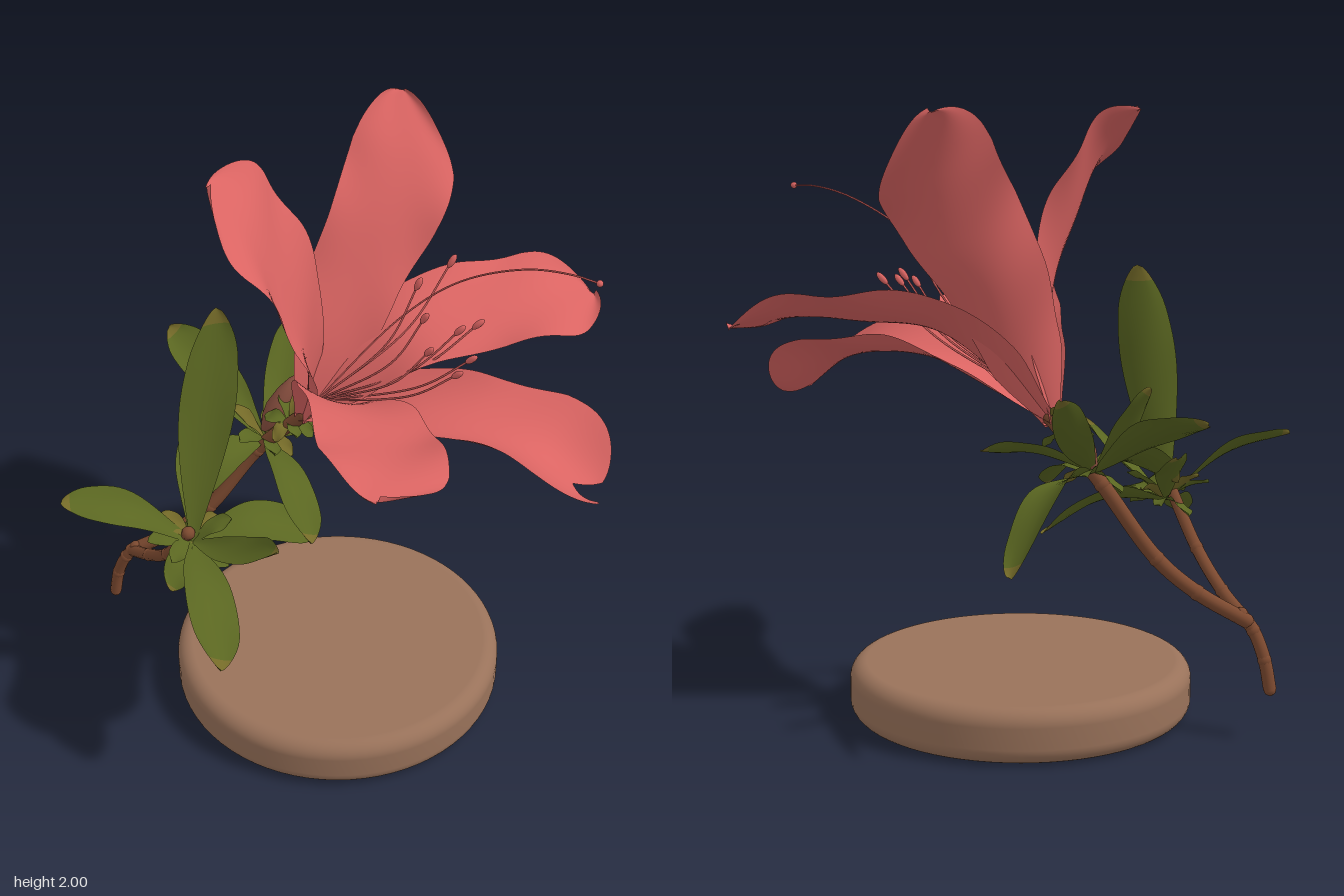
import * as THREE from 'three';

const mat = (name, color, side = THREE.FrontSide) => {
  const m = new THREE.MeshStandardMaterial({ color, side });
  m.name = name;
  return m;
};
const V = (p) => new THREE.Vector3(...p);
const curve = (pts) => new THREE.CatmullRomCurve3(pts.map(V), false, 'centripetal');

// Smooth interpolation through a short list of values
function sample(list, t) {
  const f = t * (list.length - 1), i = Math.min(Math.floor(f), list.length - 2), k = f - i;
  const s = k * k * (3 - 2 * k) * 0.4 + k * 0.6;
  return list[i] + (list[i + 1] - list[i]) * s;
}

// Thin curved blade: cross-sections along a spine, cupped toward "inner" and rippled at the edges
function blade(spine, sideDir, widthAt, { cup, ripple, inner, notch = 0, nu, nv, waves = 18, tipRows = 0 }) {
  const pos = [], idx = [], side0 = V(sideDir).normalize(), ref = V(inner);
  for (let j = 0; j <= nv; j++) {
    const t = 1 - Math.pow(1 - j / nv, 1.5);
    const p = spine.getPoint(t), tan = spine.getTangent(t);
    const normal = new THREE.Vector3().crossVectors(side0, tan).normalize();
    if (normal.dot(ref) < 0) normal.negate();
    const w = widthAt(t);
    for (let i = 0; i <= nu; i++) {
      const u = (i / nu) * 2 - 1;
      const lift = cup(t) * w * u * u + ripple * t * u * u * Math.sin(t * waves + u * 2);
      const q = p.clone().addScaledVector(side0, w * u).addScaledVector(normal, lift);
      q.addScaledVector(tan, -notch * t ** 8 * (1 - Math.abs(u)));
      pos.push(q.x, q.y, q.z);
    }
  }
  const row = nu + 1;
  for (let j = 0; j < nv; j++) for (let i = 0; i < nu; i++) {
    const a = j * row + i;
    idx.push(a, a + 1, a + row, a + 1, a + row + 1, a + row);
  }
  const g = new THREE.BufferGeometry();
  g.setAttribute('position', new THREE.Float32BufferAttribute(pos, 3));
  g.setIndex(idx);
  const tipCount = tipRows * nu * 6;
  g.addGroup(0, idx.length - tipCount, 0);
  if (tipRows) g.addGroup(idx.length - tipCount, tipCount, 1);
  g.computeVertexNormals();
  return g;
}

export function createModel() {
  const root = new THREE.Group();
  const pink = mat('petal pink', 0xda6462, THREE.DoubleSide);
  const green = mat('leaf green', 0x5a6621, THREE.DoubleSide);
  const olive = mat('bract olive', 0x746a28, THREE.DoubleSide);
  const bark = mat('bark brown', 0x7d4a30);
  const budColor = mat('bud brown', 0x8a5040);
  const wood = mat('base brown', 0x99725a);
  const add = (name, geo, material, parent = root) => {
    const m = new THREE.Mesh(geo, material);
    m.name = name;
    parent.add(m);
    return m;
  };
  const group = (name) => {
    const g = new THREE.Group();
    g.name = name;
    root.add(g);
    return g;
  };

  // Round base with softened rims
  const R = 0.57, H = 0.18, c = 0.055, profile = [new THREE.Vector2(0, 0)];
  for (const [start, y] of [[-Math.PI / 2, c], [0, H - c]]) {
    for (let i = 0; i <= 8; i++) {
      const a = start + (i / 8) * Math.PI / 2;
      profile.push(new THREE.Vector2(R - c + c * Math.cos(a), y + c * Math.sin(a)));
    }
  }
  profile.push(new THREE.Vector2(0, H));
  add('base', new THREE.LatheGeometry(profile, 72), wood);

  // Forked stem with knots
  const stem = group('stem');
  const branch = (name, r, pts) => {
    add(name, new THREE.TubeGeometry(curve(pts), 32, r, 10), bark, stem);
    pts.forEach((p, i) => {
      const knot = add('knot', new THREE.SphereGeometry(r * (i === 0 ? 0.98 : 1.12), 10, 8), bark, stem);
      knot.position.set(...p);
    });
  };
  branch('trunk', 0.021, [[-0.85, 0.165, 0.055], [-0.83, 0.26, 0.055], [-0.79, 0.35, 0.06], [-0.75, 0.4, 0.055]]);
  branch('flowerBranch', 0.024, [[-0.77, 0.38, 0.055], [-0.62, 0.47, 0], [-0.5, 0.58, -0.05], [-0.34, 0.82, -0.12], [-0.16, 1.02, -0.115]]);
  branch('leafBranch', 0.021, [[-0.77, 0.38, 0.055], [-0.66, 0.45, 0.13], [-0.54, 0.56, 0.22], [-0.42, 0.74, 0.29]]);

  // Petals: spine after the shared foot, side direction, half widths from throat to tip, tip cupping, notch
  const flower = group('flower');
  const petal = (pts, side, widths, tipCup, notch = 0) => {
    const round = (t) => (t < 0.84 ? 1 : Math.sqrt(Math.max(0, 1 - ((t - 0.84) / 0.16) ** 2)));
    const width = (t) => Math.max(0.002, sample([0.03, ...widths], t) * (notch ? 0.35 + 0.65 * round(t) : round(t)));
    const cup = (t) => 0.26 + (tipCup - 0.26) * t * t;
    const shape = { cup, ripple: 0.022, inner: [0.65, 0.76, 0], notch, nu: 16, nv: 56 };
    add('petal', blade(curve([[-0.17, 1, -0.115], ...pts]), side, width, shape), pink, flower);
  };
  petal([[-0.11, 1.22, -0.19], [-0.07, 1.45, -0.3], [-0.01, 1.64, -0.42], [0.02, 1.8, -0.54], [-0.02, 1.98, -0.66]],
    [0.74, -0.42, -0.4], [0.125, 0.16, 0.185, 0.19, 0.12], 0.1);
  petal([[0, 1.19, -0.19], [0.15, 1.31, -0.28], [0.35, 1.35, -0.43], [0.52, 1.36, -0.56], [0.66, 1.33, -0.7]],
    [0.65, -0.28, 0.65], [0.13, 0.17, 0.19, 0.19, 0.14], 0.1);
  petal([[0.05, 1.1, -0.08], [0.22, 1.17, -0.05], [0.45, 1.19, -0.02], [0.66, 1.15, -0.01], [0.85, 1.01, -0.01]],
    [0, 0, 1], [0.13, 0.18, 0.18, 0.21, 0.18], 0.6, 0.08);
  petal([[-0.02, 1.18, 0], [0.11, 1.27, 0.14], [0.23, 1.32, 0.33], [0.33, 1.37, 0.52], [0.38, 1.4, 0.7]],
    [0.9, -0.28, -0.38], [0.14, 0.19, 0.2, 0.2, 0.14], 0.12);
  petal([[-0.12, 1.22, -0.05], [-0.1, 1.45, 0.04], [-0.15, 1.68, 0.11], [-0.22, 1.86, 0.15], [-0.34, 1.99, 0.18]],
    [0.27, -0.2, 0.94], [0.13, 0.2, 0.24, 0.235, 0.17], 0.05);

  // Stamens with small anthers, and the long style
  const throat = [-0.12, 1.08, -0.12];
  const stamens = [[0.29, 1.63, -0.25], [0.29, 1.58, 0.02], [0.32, 1.49, 0.06], [0.41, 1.42, 0.05],
    [0.43, 1.43, -0.03], [0.4, 1.45, -0.2], [0.36, 1.46, -0.13], [0.22, 1.6, -0.13]];
  for (const tip of stamens) {
    const mid = throat.map((v, i) => v + (tip[i] - v) * 0.6 + [0.04, -0.03, 0][i]);
    const path = curve([throat, mid, tip]);
    add('stamen', new THREE.TubeGeometry(path, 20, 0.0035, 6), pink, flower);
    const anther = add('anther', new THREE.SphereGeometry(0.011, 10, 8), pink, flower);
    anther.scale.y = 2.4;
    anther.position.set(...tip);
    anther.quaternion.setFromUnitVectors(new THREE.Vector3(0, 1, 0), path.getTangent(1));
  }
  const stylePts = [throat, [0.16, 1.45, -0.16], [0.34, 1.61, -0.17], [0.55, 1.71, -0.15], [0.7, 1.74, -0.12], [0.79, 1.74, -0.1]];
  add('style', new THREE.TubeGeometry(curve(stylePts), 40, 0.003, 6), pink, flower);
  const stigma = add('stigma', new THREE.SphereGeometry(0.011, 10, 8), pink, flower);
  stigma.position.set(0.79, 1.74, -0.1);

  // Leaves: base, tip, half width, arch, optional side direction; rolled to show their faces forward
  const leaves = group('leaves');
  const leaf = (name, a, b, w, arch, side, material = [green, olive]) => {
    const mid = a.map((v, i) => (v + b[i]) / 2 + (i === 1 ? arch : 0));
    const d = V(b).sub(V(a));
    const roll = -0.5 * Math.sign(d.x - d.z) * Math.hypot(d.x, d.z);
    const s = side || [-d.z, roll, d.x];
    const width = (t) => Math.max(0.001, w * (0.12 + 0.88 * Math.sin(Math.PI * Math.pow(t, 1.1) * 0.86)) *
      (t < 0.8 ? 1 : Math.sqrt(Math.max(0, 1 - ((t - 0.8) / 0.2) ** 2))));
    const shape = { cup: () => 0.25, ripple: 0.006, inner: [0.3, 1, 0.5], nu: 6, nv: 24, waves: 12, tipRows: 4 };
    add(name, blade(curve([a, mid, b]), s, width, shape), material, leaves);
  };
  const A = [-0.32, 0.86, -0.14], B = [-0.41, 0.7, 0.28];
  leaf('uprightLeaf', B, [-0.38, 1.5, 0.07], 0.095, 0.02, [0.78, 0, -0.62]);
  const lowerLeaves = [
    [[-0.77, 0.92, 0.49], 0.07, 0.05],
    [[-0.12, 0.61, 0.73], 0.09, 0.06],
    [[-0.02, 0.92, 0.48], 0.06, -0.02],
    [[-0.08, 0.61, -0.01], 0.08, 0.06],
    [[-0.42, 0.62, 0.45], 0.05, 0.02],
    [[-0.55, 0.9, -0.01], 0.055, 0.02],
  ];
  const upperLeaves = [
    [[-0.77, 1.08, -0.36], 0.08, 0.03],
    [[-0.25, 0.62, -0.61], 0.085, 0.11],
    [[-0.35, 1.14, -0.48], 0.06, -0.03],
    [[-0.02, 0.74, 0.2], 0.075, 0.06],
    [[-0.48, 0.78, 0.2], 0.07, 0.06],
    [[-0.53, 1.15, -0.2], 0.05, -0.02],
    [[0, 0.93, -0.3], 0.055, 0.03],
  ];
  lowerLeaves.forEach((l) => leaf('lowerLeaf', B, ...l));
  upperLeaves.forEach((l) => leaf('upperLeaf', A, ...l));

  // Small bracts ringing each shoot and the flower's foot
  const rings = [[A, 7, 0.13, 0.09, 0.032], [B, 9, 0.14, 0.06, 0.032], [[-0.22, 0.96, -0.12], 6, 0.09, 0.07, 0.026]];
  rings.forEach(([p, n, reach, rise, w], k) => {
    for (let i = 0; i < n; i++) {
      const a = (i / n) * Math.PI * 2 + k, r = reach * (0.8 + 0.3 * ((i * 7) % 3) / 2);
      const tip = [p[0] + r * Math.cos(a), p[1] + rise * (((i * 5) % 4) / 1.5 - 0.5), p[2] + r * Math.sin(a)];
      leaf('bract', p, tip, w, 0.015, null, i % 3 ? green : olive);
    }
  });

  // Closed bud beside the flower
  const budFrom = V([-0.33, 0.88, -0.16]), budTo = V([-0.23, 1.1, -0.22]);
  const budShape = [[0.012, 0], [0.032, 0.05], [0.039, 0.1], [0.03, 0.17], [0.014, 0.22], [0, 0.245]];
  const bud = add('bud', new THREE.LatheGeometry(budShape.map(([x, y]) => new THREE.Vector2(x, y)), 14), budColor);
  bud.position.copy(budFrom);
  bud.quaternion.setFromUnitVectors(new THREE.Vector3(0, 1, 0), budTo.sub(budFrom).normalize());

  return root;
}
